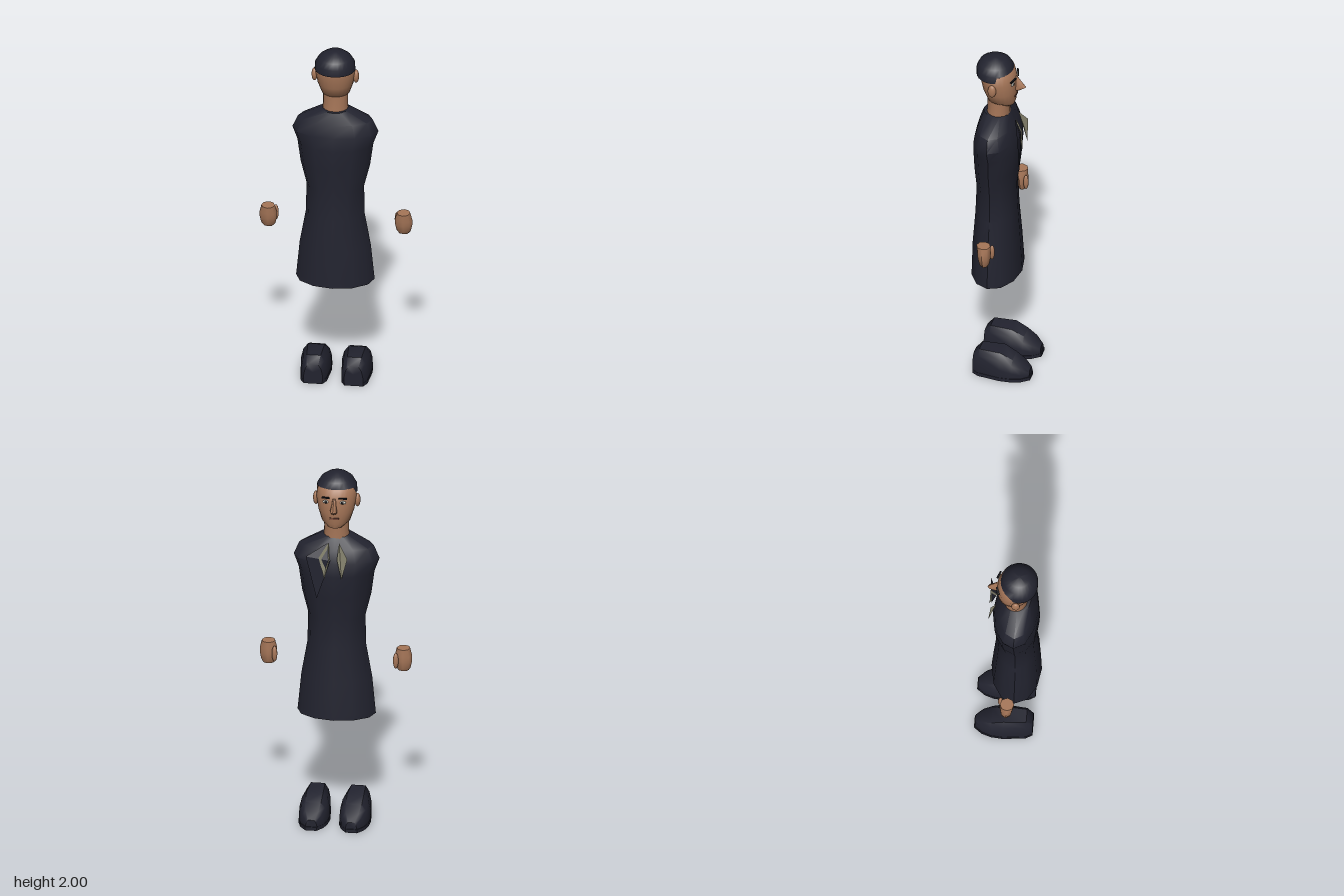
import * as THREE from 'three';
import { toCreasedNormals } from 'three/addons/utils/BufferGeometryUtils.js';

const mat = (name, color, side = THREE.FrontSide) => {
  const m = new THREE.MeshStandardMaterial({ color, side });
  m.name = name;
  return m;
};

// Skin a stack of equal-length rings and close both ends
function loft(rings, crease = 0.7) {
  const n = rings[0].length, pos = [], idx = [];
  rings.forEach(r => r.forEach(p => pos.push(...p)));
  for (let j = 0; j < rings.length - 1; j++) {
    for (let i = 0; i < n; i++) {
      const a = j * n + i, b = j * n + (i + 1) % n;
      idx.push(a, a + n, b, b, a + n, b + n);
    }
  }
  [0, rings.length - 1].forEach((j, end) => {
    const c = pos.length / 3;
    for (let k = 0; k < 3; k++) pos.push(rings[j].reduce((s, p) => s + p[k], 0) / n);
    for (let i = 0; i < n; i++) {
      const a = j * n + i, b = j * n + (i + 1) % n;
      idx.push(c, end ? b : a, end ? a : b);
    }
  });
  const g = new THREE.BufferGeometry();
  g.setAttribute('position', new THREE.Float32BufferAttribute(pos, 3));
  g.setIndex(idx);
  return toCreasedNormals(g, crease);
}

// Horizontal ellipses from rows of [y, half width, centre z, half depth, centre x]
const ellipses = (rows, n) => rows.map(([y, rx, zc, rz, xc = 0]) =>
  Array.from({ length: n }, (_, i) => {
    const a = i / n * Math.PI * 2;
    return [xc + rx * Math.cos(a), y, zc + rz * Math.sin(a)];
  }));

// Flat fan of corners
function plate(corners) {
  const g = new THREE.BufferGeometry();
  g.setAttribute('position', new THREE.Float32BufferAttribute(corners.flat(), 3));
  const idx = [];
  for (let i = 1; i < corners.length - 1; i++) idx.push(0, i, i + 1);
  g.setIndex(idx);
  const flat = g.toNonIndexed();
  flat.computeVertexNormals();
  return flat;
}

export function createModel() {
  const group = new THREE.Group();
  const navy = mat('navy cloth', 0x22232f);
  const skin = mat('skin', 0xa67658);
  const collarTan = mat('collar tan', 0x87846f, THREE.DoubleSide);
  const white = mat('eye white', 0xb9b9b0);
  const black = mat('black', 0x121216);
  const lip = mat('lip', 0x6e4436);
  const add = (name, geometry, material) => {
    const m = new THREE.Mesh(geometry, material);
    m.name = name;
    group.add(m);
    return m;
  };
  const ball = (name, material, at, size) => {
    const m = add(name, new THREE.SphereGeometry(1, 14, 10), material);
    m.position.set(...at);
    m.scale.set(...size);
    return m;
  };

  // Long coat
  add('coat', loft(ellipses([
    [0.61, 0.21, 0.044, 0.134], [0.64, 0.207, 0.044, 0.133], [0.82, 0.19, 0.047, 0.126],
    [1.01, 0.157, 0.047, 0.114], [1.18, 0.154, 0.047, 0.107], [1.31, 0.186, 0.044, 0.119],
    [1.44, 0.203, 0.042, 0.126], [1.515, 0.23, 0.042, 0.118], [1.585, 0.2, 0.045, 0.097],
    [1.65, 0.073, 0.05, 0.07],
  ], 12)), navy);

  // Neck and head
  add('neck', loft(ellipses([[1.63, 0.07, 0.04, 0.063], [1.69, 0.066, 0.038, 0.06],
    [1.75, 0.067, 0.036, 0.062]], 16)), skin);
  add('head', loft(ellipses([
    [1.712, 0.04, -0.005, 0.042], [1.74, 0.076, 0.022, 0.078], [1.8, 0.096, 0.031, 0.091],
    [1.87, 0.108, 0.038, 0.098], [1.93, 0.102, 0.047, 0.092], [1.96, 0.07, 0.05, 0.06],
  ], 24), 1), skin);

  // Hair, cut higher over the forehead
  const hairRings = ellipses([
    [1.893, 0.109, 0.058, 0.1], [1.932, 0.106, 0.058, 0.1], [1.965, 0.086, 0.058, 0.085],
    [1.988, 0.055, 0.058, 0.056], [2.0, 0.015, 0.058, 0.015],
  ], 24).map(r => r.map(([x, y, z]) => [x, z < 0.01 ? Math.max(y, 1.931) : y, z]));
  add('hair', loft(hairRings, 0.9), navy);

  // Face
  add('nose', loft(ellipses([[1.808, 0.016, -0.062, 0.022], [1.826, 0.019, -0.078, 0.034],
    [1.855, 0.012, -0.066, 0.025], [1.888, 0.008, -0.055, 0.01]], 8), 0.9), skin);
  const mouth = add('mouth', new THREE.BoxGeometry(0.05, 0.009, 0.009), lip);
  mouth.position.set(0, 1.773, -0.056);

  for (const s of [1, -1]) {
    const side = s > 0 ? 'left' : 'right';
    ball(side + 'Ear', skin, [s * 0.111, 1.846, 0.046], [0.016, 0.038, 0.023]);
    ball(side + 'EyeWhite', white, [s * 0.045, 1.867, -0.051], [0.019, 0.009, 0.007]);
    ball(side + 'Iris', black, [s * 0.044, 1.867, -0.056], [0.007, 0.008, 0.004]);
    const brow = add(side + 'Brow', new THREE.BoxGeometry(0.044, 0.007, 0.009), black);
    brow.position.set(s * 0.046, 1.891, -0.054);
    brow.rotation.set(0, -s * 0.35, -s * 0.1);

    // Collar wing
    add(side + 'Collar', plate([
      [s * 0.028, 1.635, -0.062], [s * 0.02, 1.55, -0.094],
      [s * 0.046, 1.44, -0.105], [s * 0.077, 1.56, -0.101],
    ]), collarTan);

    // Hand with thumb
    const hx = s * 0.362;
    add(side + 'Hand', loft(ellipses([
      [0.885, 0.028, 0.012, 0.018, hx], [0.9, 0.038, 0.014, 0.027, hx],
      [0.94, 0.047, 0.016, 0.035, hx], [0.97, 0.046, 0.018, 0.037, hx],
      [1.01, 0.036, 0.02, 0.038, hx],
    ], 8), 0.9), skin);
    ball(side + 'Thumb', skin, [s * 0.325, 0.948, -0.017], [0.015, 0.045, 0.014]);

    // Shoe: arched sections from heel to toe, [z, half width, height, centre x]
    const shoeRings = [
      [0.14, 0.05, 0.115, 0.108], [0.105, 0.068, 0.155, 0.109], [-0.015, 0.081, 0.155, 0.109],
      [-0.08, 0.076, 0.122, 0.109], [-0.13, 0.06, 0.092, 0.108], [-0.168, 0.03, 0.058, 0.107],
    ].map(([z, w, h, c]) => [[1, 0.02], [1, 0.45], [0.85, 0.78], [0.55, 1], [-0.55, 1],
      [-0.85, 0.78], [-1, 0.45], [-1, 0.02]].map(([u, v]) => [s * c + u * w, Math.max(v * h, 0.016), z]));
    add(side + 'Shoe', loft(shoeRings, 0.8), navy);

    // Sole
    const outline = [[0.05, 0.14], [0.07, 0.105], [0.083, -0.015], [0.078, -0.08], [0.062, -0.13], [0.03, -0.173]];
    const loop = [...outline.map(([w, z]) => [s * 0.109 + w, z]),
      ...outline.map(([w, z]) => [s * 0.109 - w, z]).reverse()].reverse();
    add(side + 'Sole', loft([0, 0.02].map(y => loop.map(([x, z]) => [x, y, z]))), navy);
  }

  // Lapel flap on one side
  add('lapel', plate([
    [0.035, 1.63, -0.06], [0.015, 1.54, -0.09], [0.088, 1.32, -0.098], [0.145, 1.565, -0.105],
  ].reverse()), navy);

  return group;
}
